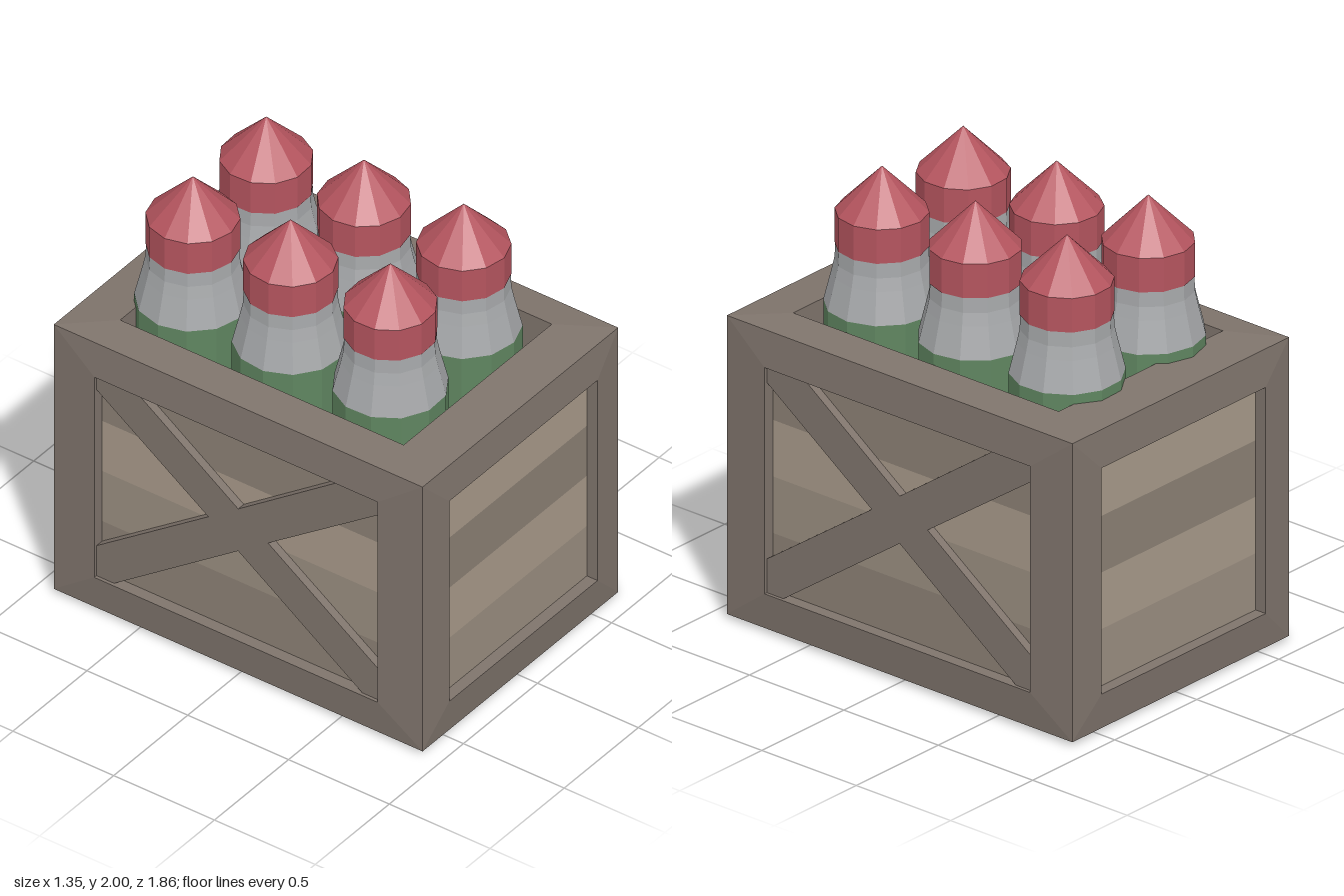
import * as THREE from 'three';

const mat = (color) => new THREE.MeshStandardMaterial({ color, flatShading: true });
const frameMat = mat(0x7f746c);
const plankMats = { light: mat(0xa89a8a), mid: mat(0x9a8e80), dark: mat(0x8b8074) };
const greenMat = mat(0x5f8560);
const greyMat = mat(0xa6a8aa);
const redMat = mat(0xb4545e);

const MID_Y = 0.68;
const CORNER = [0.66, 0.66, 0.915]; // half size at the bevelled corners
const FACE = [0.675, 0.68, 0.93];   // half size at the raised face plane
const OPEN = [0.5, 0.5, 0.703];     // half size of the openings
const RECESS = 0.055;

function add(parent, name, geometry, material, x = 0, y = 0, z = 0) {
  const mesh = new THREE.Mesh(geometry, material);
  mesh.name = name;
  mesh.position.set(x, y, z);
  parent.add(mesh);
  return mesh;
}

// Frame of one crate side: sloped border, then the walls of its opening
function frameSide(axis, sign, depth) {
  const u = (axis + 1) % 3, v = (axis + 2) % 3;
  const loop = (half, level) => [[-1, -1], [1, -1], [1, 1], [-1, 1]].map(([a, b]) => {
    const p = [0, 0, 0];
    p[axis] = sign * level;
    p[u] = a * half[u] * sign; // mirrored with the sign to keep the winding outward
    p[v] = b * half[v];
    return p;
  });
  const loops = [loop(CORNER, CORNER[axis]), loop(OPEN, FACE[axis]), loop(OPEN, FACE[axis] - depth)];
  const pos = [];
  for (let i = 0; i < 2; i++) {
    for (let k = 0; k < 4; k++) {
      const n = (k + 1) % 4;
      const [a, b, c, d] = [loops[i][k], loops[i][n], loops[i + 1][n], loops[i + 1][k]];
      pos.push(...a, ...b, ...c, ...a, ...c, ...d);
    }
  }
  const geometry = new THREE.BufferGeometry();
  geometry.setAttribute('position', new THREE.Float32BufferAttribute(pos, 3));
  geometry.computeVertexNormals();
  return geometry;
}

// X-shaped brace, trimmed to the side opening
function braceGeometry() {
  const half = [[0, 0.825], [0.5, 1.18], [0.705, 1.18], [0.705, 1.11], [0.148, 0.72],
    [0.705, 0.328], [0.705, 0.18], [0.615, 0.18], [0, 0.615]];
  const mirrored = half.slice(1, -1).reverse().map(([x, y]) => [-x, y]);
  const shape = new THREE.Shape([...half, ...mirrored].map(([x, y]) => new THREE.Vector2(x, y)));
  return new THREE.ExtrudeGeometry(shape, { depth: 0.04, bevelEnabled: false });
}

function createCrate() {
  const crate = new THREE.Group();
  crate.name = 'crate';

  const names = [['rightFrame', 'leftFrame'], ['bottomFrame', 'topFrame'], ['backFrame', 'frontFrame']];
  for (let axis = 0; axis < 3; axis++) {
    [-1, 1].forEach((sign, i) => {
      const isTop = axis === 1 && sign === 1; // the top opening runs down to the floor
      add(crate, names[axis][i], frameSide(axis, sign, isTop ? 1.28 : RECESS), frameMat, 0, MID_Y, 0);
    });
  }

  add(crate, 'floor', new THREE.BoxGeometry(1.02, 0.03, 1.42), plankMats.dark, 0, 0.067, 0);

  // Horizontal planks behind the four side openings, listed from the top
  const endTones = ['light', 'dark', 'light', 'mid'];
  const sideTones = ['dark', 'light', 'mid', 'dark'];
  for (const s of [-1, 1]) {
    for (let i = 0; i < 4; i++) {
      const y = 1.055 - i * 0.25;
      add(crate, s > 0 ? 'frontPlank' : 'backPlank', new THREE.BoxGeometry(1.02, 0.25, 0.04),
        plankMats[endTones[i]], 0, y, s * (FACE[2] - RECESS - 0.018));
      add(crate, s > 0 ? 'leftPlank' : 'rightPlank', new THREE.BoxGeometry(0.04, 0.25, 1.42),
        plankMats[sideTones[i]], s * (FACE[0] - RECESS - 0.018), y, 0);
    }
    const brace = add(crate, s > 0 ? 'leftBrace' : 'rightBrace', braceGeometry(), frameMat, s * 0.62, 0, 0);
    brace.rotation.y = s * Math.PI / 2;
  }
  return crate;
}

// Artillery shell: casing, tapering neck and pointed tip
function createShell() {
  const shell = new THREE.Group();
  shell.name = 'shell';
  const turned = (name, points, material) => add(shell, name,
    new THREE.LatheGeometry(points.map(([r, y]) => new THREE.Vector2(r, y)), 12), material);
  turned('casing', [[0.236, 0.08], [0.236, 1.4]], greenMat);
  turned('neck', [[0.236, 1.4], [0.203, 1.535], [0.191, 1.59], [0.188, 1.655]], greyMat);
  turned('tip', [[0.191, 1.655], [0.191, 1.805], [0, 2]], redMat);
  return shell;
}

export function createModel() {
  const model = new THREE.Group();
  model.name = 'shellCrate';
  model.add(createCrate());

  // Two columns of three shells, each turned a little differently
  [-0.245, 0.25].forEach((x, col) => {
    [-0.53, -0.045, 0.45].forEach((z, row) => {
      const shell = createShell();
      shell.position.set(x, 0, z);
      shell.rotation.y = 0.15 * (row + 2 * col);
      model.add(shell);
    });
  });
  return model;
}
